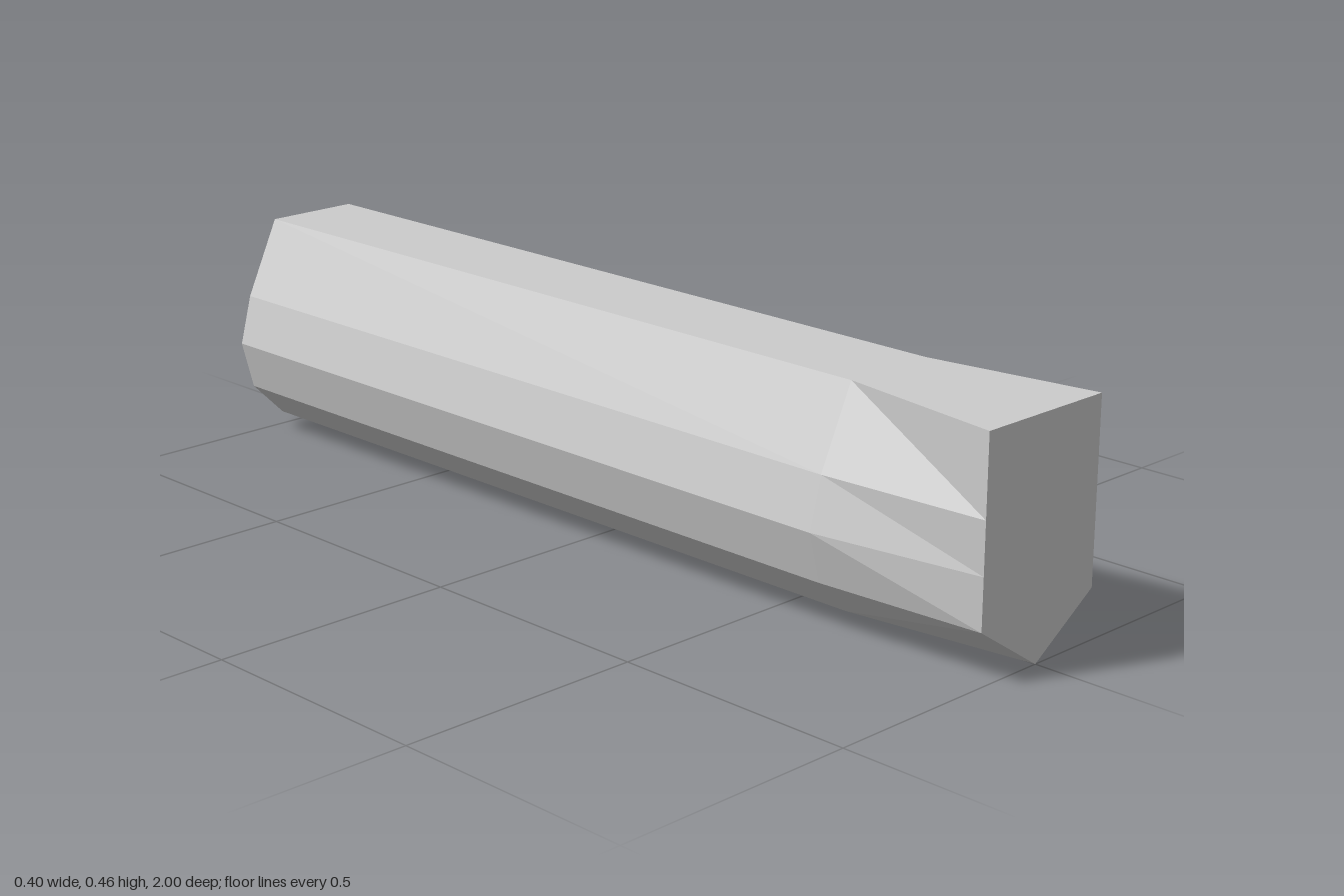
import * as THREE from 'three';

// Right half of each cross-section, from the bottom centre up to the top centre
const shaftHalf = [[0, 0], [0.101, 0.027], [0.175, 0.101], [0.202, 0.202], [0.175, 0.303], [0.101, 0.46], [0, 0.46]];
const tipHalf = [[0, 0], [0.153, 0.101], [0.153, 0.101], [0.153, 0.202], [0.153, 0.303], [0.153, 0.46], [0, 0.46]];

// Mirror a half section into a closed loop at depth z
function ring(half, z) {
  const left = half.slice(1, -1).reverse().map(([x, y]) => [-x, y]);
  return [...half, ...left].map(([x, y]) => new THREE.Vector3(x, y, z));
}

function meshFrom(name, triangles, material) {
  const solid = triangles.filter(([a, b, c]) => new THREE.Triangle(a, b, c).getArea() > 1e-8);
  const geometry = new THREE.BufferGeometry().setFromPoints(solid.flat());
  geometry.computeVertexNormals();
  const mesh = new THREE.Mesh(geometry, material);
  mesh.name = name;
  return mesh;
}

// Side walls between two rings, back ring first
function walls(back, front) {
  return back.flatMap((b, i) => {
    const j = (i + 1) % back.length;
    return [[b, back[j], front[j]], [b, front[j], front[i]]];
  });
}

// Flat end face
function cap(loop, facesFront) {
  const centre = new THREE.Vector3(0, 0.23, loop[0].z);
  return loop.map((p, i) => {
    const q = loop[(i + 1) % loop.length];
    return facesFront ? [centre, p, q] : [centre, q, p];
  });
}

export function createModel() {
  const group = new THREE.Group();
  group.name = 'flatToppedBar';
  const material = new THREE.MeshStandardMaterial({ color: 0xcccccc, flatShading: true });

  const rear = ring(shaftHalf, -1);
  const shoulder = ring(shaftHalf, 0.65);
  const tip = ring(tipHalf, 1);

  group.add(
    meshFrom('shaft', walls(rear, shoulder), material),
    meshFrom('taperedTip', walls(shoulder, tip), material),
    meshFrom('rearFace', cap(rear, false), material),
    meshFrom('frontFace', cap(tip, true), material),
  );
  return group;
}
